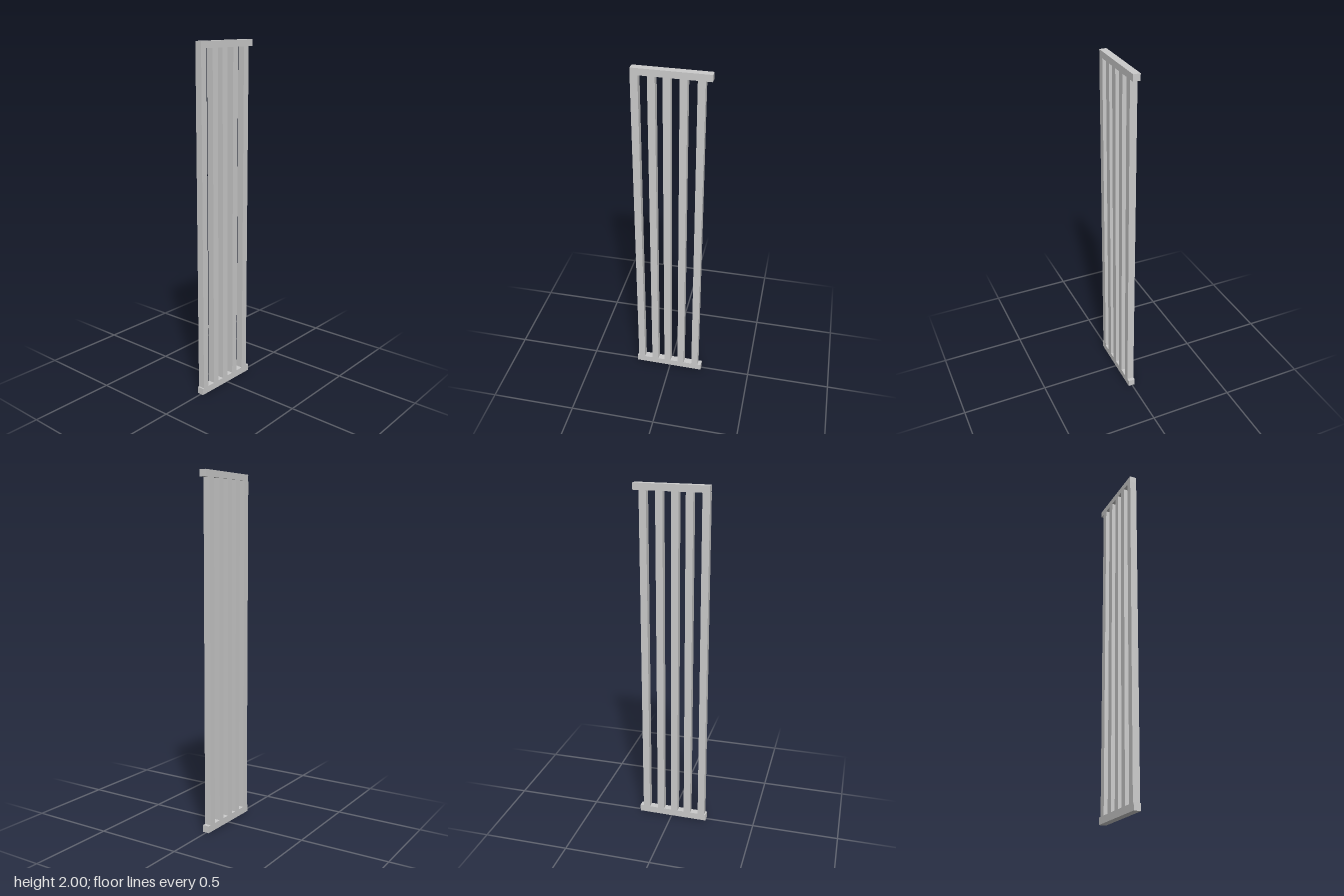
import * as THREE from 'three';

export function createModel() {
  const group = new THREE.Group();
  const material = new THREE.MeshStandardMaterial({ color: 0xcccccc, flatShading: true });
  const depth = 0.04;
  const bottomHeight = 0.04, topStart = 1.963;

  // Square-section timber spanning the given x and y ranges
  function addBeam(name, x0, x1, y0, y1) {
    const mesh = new THREE.Mesh(new THREE.BoxGeometry(x1 - x0, y1 - y0, depth), material);
    mesh.position.set((x0 + x1) / 2, (y0 + y1) / 2, 0);
    mesh.name = name;
    group.add(mesh);
  }

  // Rails, staggered slightly sideways
  addBeam('bottomRail', -0.213, 0.2, 0, bottomHeight);
  addBeam('topRail', -0.203, 0.213, topStart, 2);

  // Upright bars between the rails
  [-0.184, -0.096, -0.017, 0.069, 0.159].forEach((x, i) => {
    addBeam(`bar${i + 1}`, x - 0.02, x + 0.02, bottomHeight, topStart);
  });

  // The whole panel is turned very slightly about the vertical
  group.rotation.y = -0.012;
  group.name = 'slattedPanel';
  return group;
}
